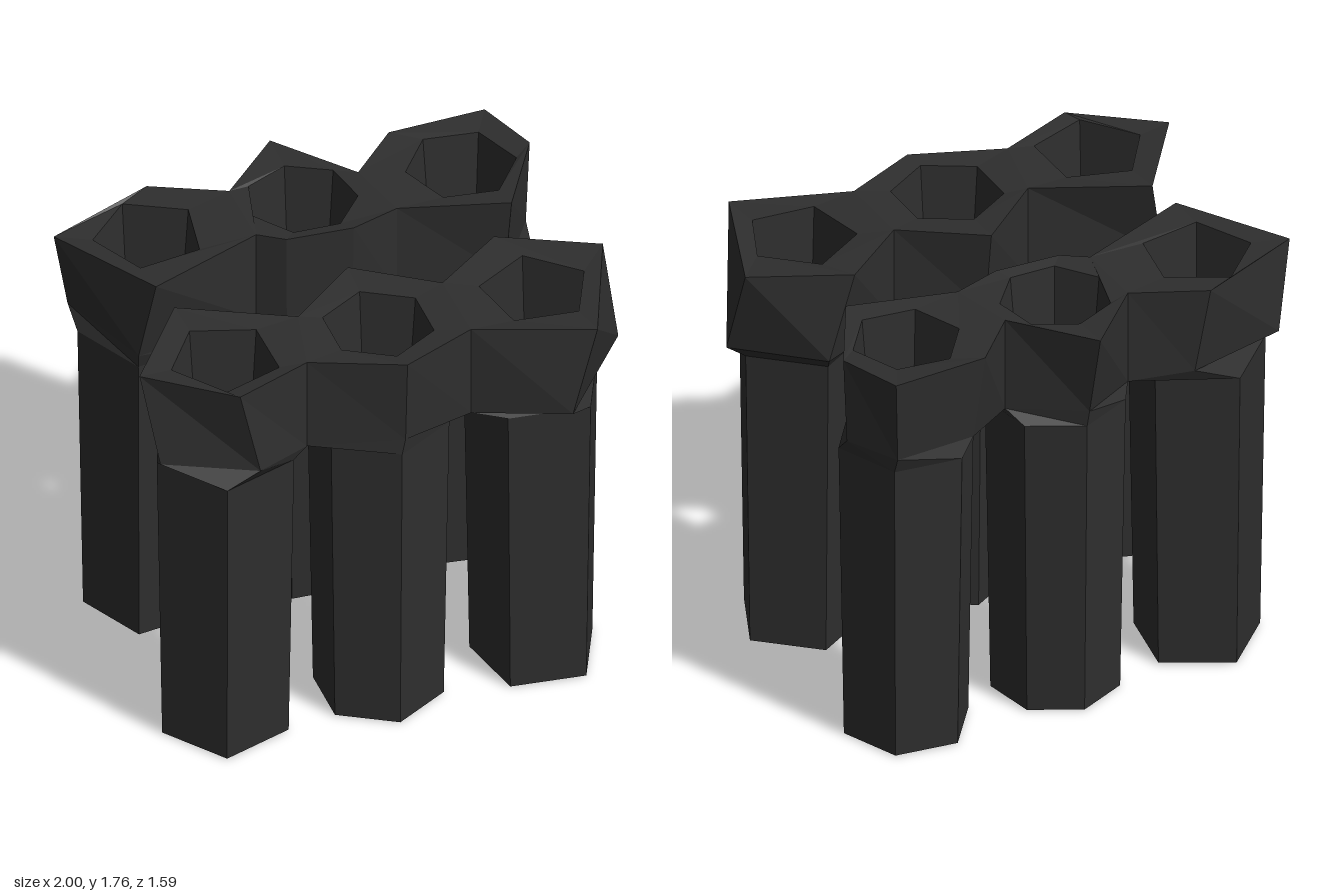
import * as THREE from 'three';

const charcoal = new THREE.MeshStandardMaterial({ color: 0x2e2e2e, flatShading: true });
charcoal.name = 'charcoal';

const SHAFT_TOP = 0.28;
const SHAFT_FOOT = 0.258;
const HOLE = 0.22;

// Skin between successive rings of equal length
function loft(rings) {
  const pos = [];
  const n = rings[0].length;
  for (let k = 0; k < rings.length - 1; k++) {
    const a = rings[k], b = rings[k + 1];
    for (let i = 0; i < n; i++) {
      const j = (i + 1) % n;
      pos.push(...a[i], ...b[i], ...b[j], ...a[i], ...b[j], ...a[j]);
    }
  }
  const g = new THREE.BufferGeometry();
  g.setAttribute('position', new THREE.Float32BufferAttribute(pos, 3));
  g.computeVertexNormals();
  return g;
}

// One hollow column: rim corners as [x, z] around a shaft centre.
// The collar's lower edge is the rim scaled by flare and turned by twist degrees.
function column(name, cx, cz, flare, twist, rim) {
  const n = rim.length;
  const turn = THREE.MathUtils.degToRad(twist);
  const at = (angle, r, y) => [cx + Math.cos(angle) * r, y, cz + Math.sin(angle) * r];

  // Rim corners in polar form, with angles rising round the column
  const corners = [];
  for (const [x, z] of rim) {
    let angle = Math.atan2(z - cz, x - cx);
    while (corners.length && angle < corners[corners.length - 1].angle) angle += 2 * Math.PI;
    const bridge = Math.abs(x) > 0.2 && Math.abs(x) < 0.37;
    corners.push({ angle, r: Math.hypot(x - cx, z - cz), bridge });
  }

  // Regular ring lined up with the rim as well as possible
  const step = (2 * Math.PI) / n;
  const start = corners.reduce((sum, c, i) => sum + c.angle - i * step, 0) / n;
  const regular = (r, y) => corners.map((c, i) => at(start + i * step, r, y));

  const mesh = new THREE.Mesh(loft([
    // hollow foot
    regular(0.001, 0.13),
    regular(0.18, 0.13),
    regular(0.235, 0.01),
    // shaft
    regular(SHAFT_FOOT, 0.015),
    regular(SHAFT_TOP, 1.33),
    // collar, whose bridge corners meet the next column
    corners.map((c) => (c.bridge
      ? at(c.angle, c.r, 1.37)
      : at(c.angle + turn, Math.max(c.r * flare, SHAFT_TOP), 1.4))),
    // rim and cup
    corners.map((c) => at(c.angle, c.r, 1.775)),
    regular(HOLE, 1.765),
    regular(HOLE * 0.85, 1.4),
    regular(0.001, 1.4),
  ]), charcoal);
  mesh.name = name;
  return mesh;
}

export function createModel() {
  const model = new THREE.Group();
  model.name = 'columnCluster';

  // Bridge corners shared by neighbours: outer (far from the gap) and inner
  const backLeftOut = [-0.26, -0.55], backLeftIn = [-0.26, -0.25];
  const backRightOut = [0.25, -0.49], backRightIn = [0.31, -0.22];
  const frontLeftOut = [-0.36, 0.59], frontLeftIn = [-0.29, 0.3];
  const frontRightOut = [0.31, 0.61], frontRightIn = [0.31, 0.29];

  model.add(
    column('backLeftColumn', -0.645, -0.41, 0.86, 12,
      [backLeftIn, [-0.74, -0.07], [-1, -0.51], [-0.55, -0.69], backLeftOut]),
    column('backMiddleColumn', -0.01, -0.42, 0.76, 0,
      [backRightIn, [0.11, -0.16], [-0.16, -0.18], backLeftIn, backLeftOut, [0, -0.8], backRightOut]),
    column('backRightColumn', 0.645, -0.41, 0.85, 0,
      [[0.94, -0.44], [0.74, -0.1], backRightIn, backRightOut, [0.45, -0.69], [0.85, -0.7]]),
    column('frontLeftColumn', -0.645, 0.44, 0.9, -17,
      [frontLeftOut, [-0.68, 0.71], [-1, 0.45], [-0.72, 0.08], frontLeftIn]),
    column('frontMiddleColumn', -0.01, 0.44, 0.86, 0,
      [frontRightOut, [0, 0.74], frontLeftOut, frontLeftIn, [0, 0.07], frontRightIn]),
    column('frontRightColumn', 0.64, 0.44, 0.97, 17,
      [[0.98, 0.27], [0.77, 0.78], frontRightOut, frontRightIn, [0.6, 0.08]]),
  );
  return model;
}
